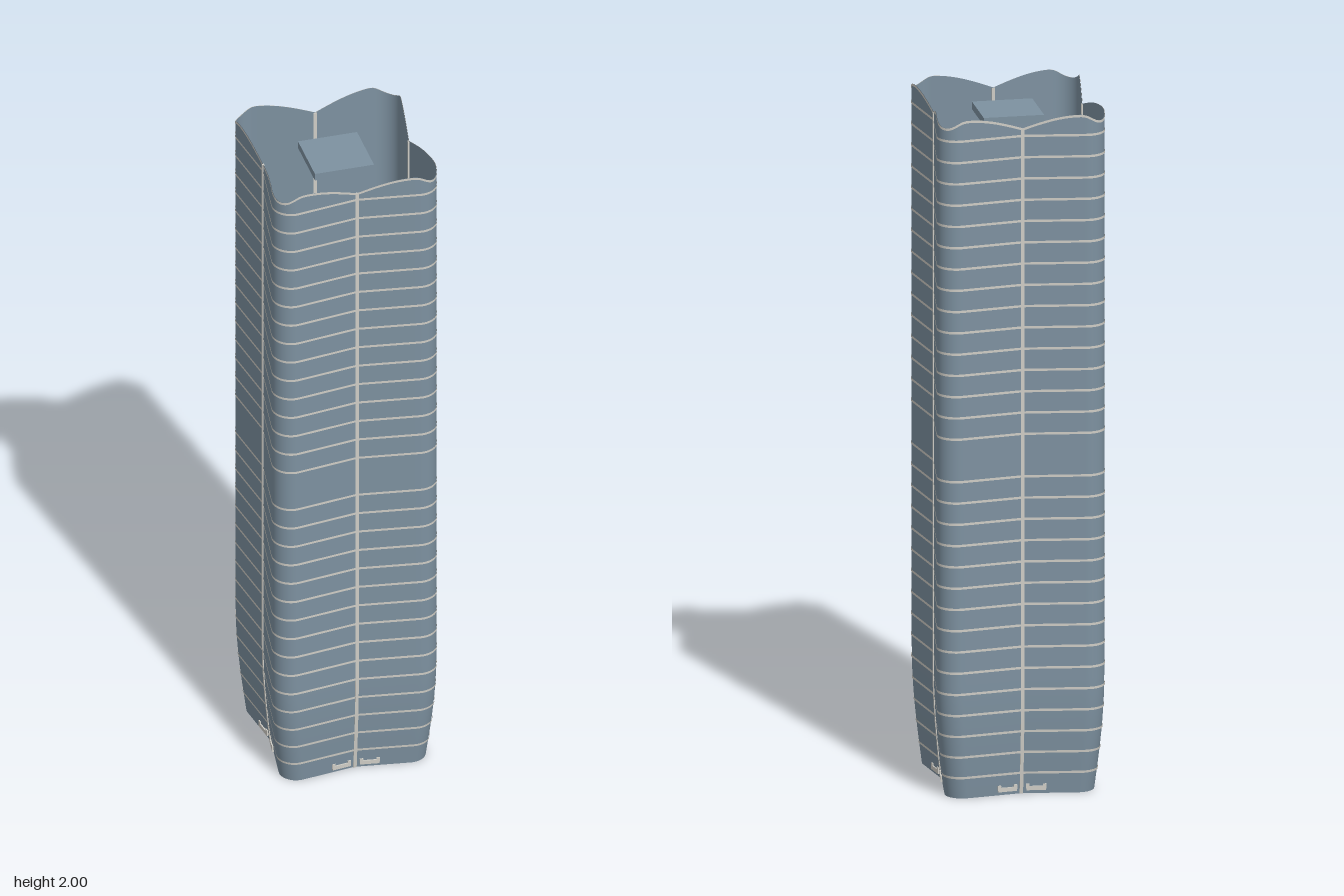
import * as THREE from 'three';

const C = 0.185, R = 0.055, TILT = 0.141;           // corner centre, corner radius, face slant
const MID = C + R * Math.cos(TILT) - (C - R * Math.sin(TILT)) * Math.tan(TILT); // crease distance

// One quarter of the plan, from the front crease round the corner to the side crease
function quarterPlan() {
  const pts = [], n = 14, arc = 16;
  const tx = C - R * Math.sin(TILT), tz = C + R * Math.cos(TILT);
  for (let i = 0; i < n; i++) pts.push([tx * i / n, MID + (tz - MID) * i / n]);
  for (let i = 0; i <= arc; i++) {
    const a = Math.PI / 2 + TILT - (Math.PI / 2 + 2 * TILT) * i / arc;
    pts.push([C + R * Math.cos(a), C + R * Math.sin(a)]);
  }
  for (let i = n - 1; i >= 0; i--) pts.push([MID + (tz - MID) * i / n, tx * i / n]);
  return pts;
}
const PLAN = quarterPlan();

// The base tapers in towards the ground
const flare = y => 0.895 + 0.105 * Math.sin(Math.PI / 2 * Math.min(y / 0.34, 1));

// Scalloped parapet: low at creases, high on each lobe, dipping at corners
function parapet(x, z) {
  const a = Math.min(x, z), peak = 0.165;
  if (a < peak) return 1.963 + 0.037 * Math.sin(Math.PI / 2 * a / peak);
  const t = (a - peak) / (C + R * Math.SQRT1_2 - peak);
  return 2 - 0.011 * (1 - Math.cos(Math.PI * t));
}

// Surface through stacked rows; each row gives a height for a plan point
function strip(rows, swell = 0) {
  const pos = [], idx = [], n = PLAN.length;
  rows.forEach(row => PLAN.forEach(([x, z]) => {
    const y = row(x, z), s = flare(y) + swell;
    pos.push(x * s, y, z * s);
  }));
  for (let j = 0; j < rows.length - 1; j++) for (let i = 0; i < n - 1; i++) {
    const a = j * n + i, b = a + n;
    idx.push(a, a + 1, b, a + 1, b + 1, b);
  }
  const g = new THREE.BufferGeometry();
  g.setAttribute('position', new THREE.Float32BufferAttribute(pos, 3));
  g.setIndex(idx);
  g.computeVertexNormals();
  return g;
}

export function createModel() {
  const tower = new THREE.Group();
  tower.name = 'tower';
  const glass = new THREE.MeshStandardMaterial({ color: 0x7d91a0, side: THREE.DoubleSide });
  glass.name = 'blue grey glass';
  const trim = new THREE.MeshStandardMaterial({ color: 0xcfcdc6, side: THREE.DoubleSide });
  trim.name = 'pale trim';

  const add = (parent, name, geometry, material) => {
    const m = new THREE.Mesh(geometry, material);
    m.name = name;
    parent.add(m);
    return m;
  };

  // Shared geometries for the four sides
  const heights = [];
  for (let i = 0; i <= 10; i++) heights.push(i * 0.034);
  heights.push(1, 1.9);
  const wallGeo = strip([...heights.map(y => () => y), parapet]);
  const rimGeo = strip([(x, z) => parapet(x, z) - 0.007, parapet], 0.006);
  const bands = [];
  for (let k = 1; k <= 31; k++) {
    if (k === 16) continue;
    const y = k * 0.0626;
    bands.push(strip([() => y - 0.0035, () => y + 0.0035], 0.007));
  }
  const mullionGeo = new THREE.BoxGeometry(0.01, 1.962, 0.006, 1, 58, 1).translate(0, 0.981, 0);
  const p = mullionGeo.attributes.position;
  for (let i = 0; i < p.count; i++) p.setZ(i, p.getZ(i) + MID * flare(p.getY(i)));
  mullionGeo.computeVertexNormals();
  const doorGeo = new THREE.BoxGeometry(0.056, 0.012, 0.009);
  const jambGeo = new THREE.BoxGeometry(0.01, 0.014, 0.009);

  for (let q = 0; q < 4; q++) {
    const side = new THREE.Group();
    side.name = 'quarter' + (q + 1);
    side.rotation.y = q * Math.PI / 2;
    tower.add(side);
    add(side, 'wall', wallGeo, glass);
    add(side, 'parapetTrim', rimGeo, trim);
    bands.forEach(g => add(side, 'floorBand', g, trim));
    add(side, 'creaseMullion', mullionGeo, trim);

    // Low entrance canopies either side of the crease
    for (const s of [-1, 1]) {
      const entrance = new THREE.Group();
      entrance.name = 'entrance';
      const x = s * 0.042;
      entrance.position.set(x, 0.016, MID * flare(0.016) + Math.abs(x) * Math.tan(TILT));
      entrance.rotation.y = -s * TILT;
      side.add(entrance);
      add(entrance, 'canopy', doorGeo, trim);
      for (const e of [-1, 1]) add(entrance, 'canopyEnd', jambGeo, trim).position.set(e * 0.024, 0.006, 0);
    }
  }

  // Square plant slab at the top
  add(tower, 'roofSlab', new THREE.BoxGeometry(0.174, 0.022, 0.174), glass).position.y = 1.951;
  return tower;
}
